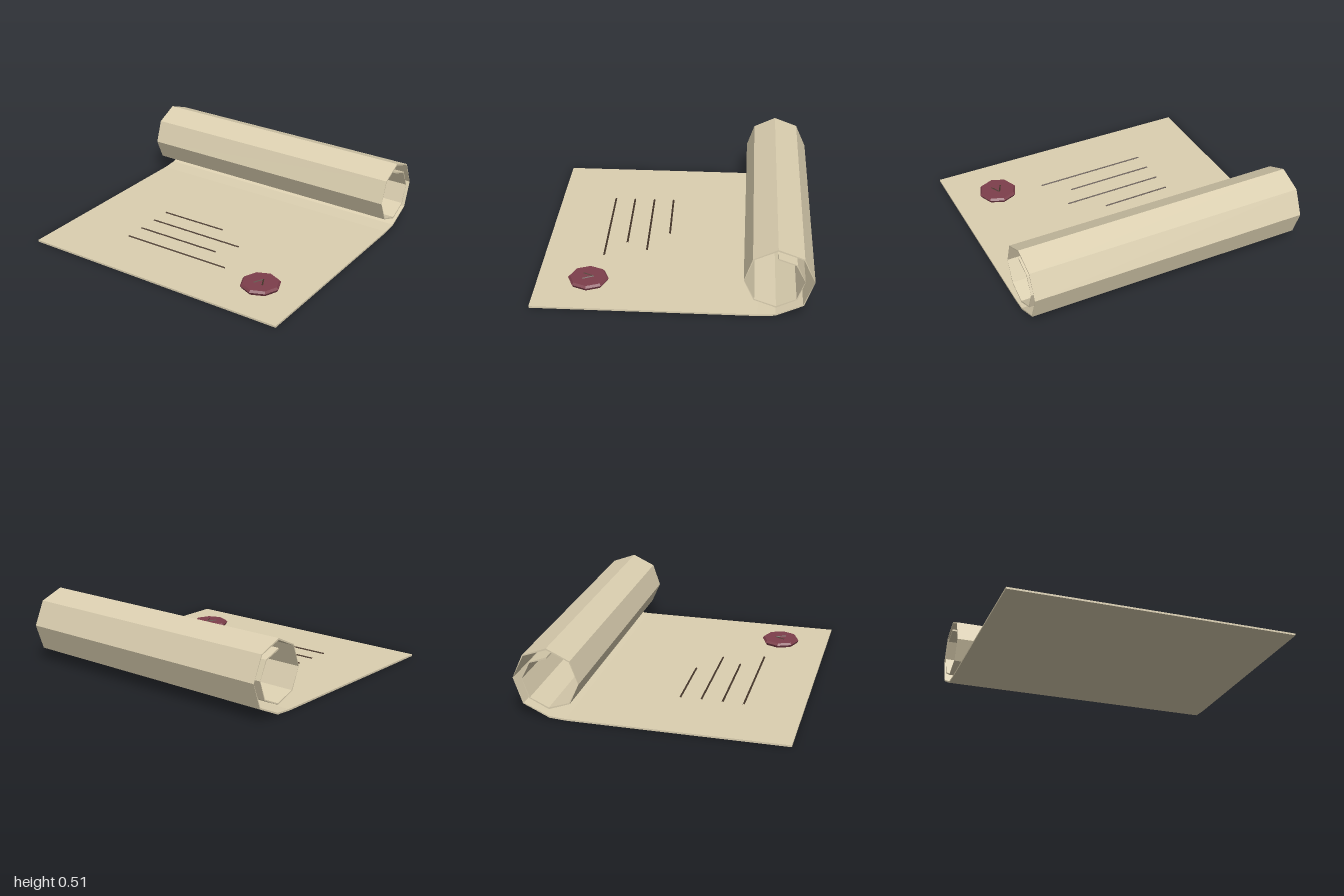
import * as THREE from 'three';

const parchment = new THREE.MeshStandardMaterial({ color: 0xdbcfb0, flatShading: true });
const ink = new THREE.MeshStandardMaterial({ color: 0x4a3a2e, flatShading: true });
const wax = new THREE.MeshStandardMaterial({ color: 0x7d3f4b, flatShading: true });
parchment.name = 'parchment';
ink.name = 'ink';
wax.name = 'sealing wax';

function addMesh(parent, name, geometry, material) {
  const mesh = new THREE.Mesh(geometry, material);
  mesh.name = name;
  parent.add(mesh);
  return mesh;
}

// Flat sheet that runs into an eight-sided spiral roll, as one swept outline
function scrollGeometry() {
  const centreZ = -0.69, centreY = 0.275, half = 0.006;
  const inner = [[0.935, 0.013], [-0.575, 0.013]];
  const outer = [[0.935, 0], [-0.575, 0.001]];
  for (let k = 0; k <= 12; k++) {
    const a = k * Math.PI / 4;
    const r = 0.26 - 0.0079 * k;
    // the sheet is thinnest where it stands upright
    const t = half * Math.max(Math.abs(Math.cos(a)), 0.15);
    const at = (q) => [centreZ - q * Math.sin(a), centreY - q * Math.cos(a)];
    inner.push(at(r - t));
    outer.push(at(r + t));
  }
  const outline = [...inner, ...outer.reverse()].map(([z, y]) => new THREE.Vector2(z, y));
  const geometry = new THREE.ExtrudeGeometry(new THREE.Shape(outline), { depth: 2, bevelEnabled: false });
  return geometry.rotateY(-Math.PI / 2).translate(1, 0, 0);
}

// Slim four-sided stroke between two points
function strokeGeometry(from, to, radius) {
  const path = new THREE.LineCurve3(new THREE.Vector3(...from), new THREE.Vector3(...to));
  return new THREE.TubeGeometry(path, 1, radius, 4, false);
}

export function createModel() {
  const model = new THREE.Group();
  model.name = 'scroll';
  addMesh(model, 'parchmentSheet', scrollGeometry(), parchment);

  // Written lines, slightly slanted
  const lines = new THREE.Group();
  lines.name = 'writtenLines';
  model.add(lines);
  [[0.01, 0.074], [0.25, 0.222], [0.155, 0.372], [0.335, 0.52]].forEach(([end, z], i) => {
    addMesh(lines, `inkLine${i + 1}`,
      strokeGeometry([-0.5, 0.014, z + 0.004], [end, 0.014, z - 0.004], 0.007), ink);
  });

  // Octagonal wax seal with a bevelled rim
  const seal = new THREE.Group();
  seal.name = 'waxSeal';
  seal.position.set(0.663, 0, 0.582);
  model.add(seal);
  const profile = [[0, 0.012], [0.128, 0.012], [0.14, 0.033], [0.127, 0.048], [0, 0.048]]
    .map(([r, y]) => new THREE.Vector2(r, y));
  addMesh(seal, 'sealDisc', new THREE.LatheGeometry(profile, 8), wax);

  // Chevron pressed into the seal
  for (const side of [-1, 1]) {
    addMesh(seal, side < 0 ? 'chevronRight' : 'chevronLeft',
      strokeGeometry([0, 0.047, -0.037], [side * 0.035, 0.047, 0.035], 0.006), ink);
  }
  return model;
}
